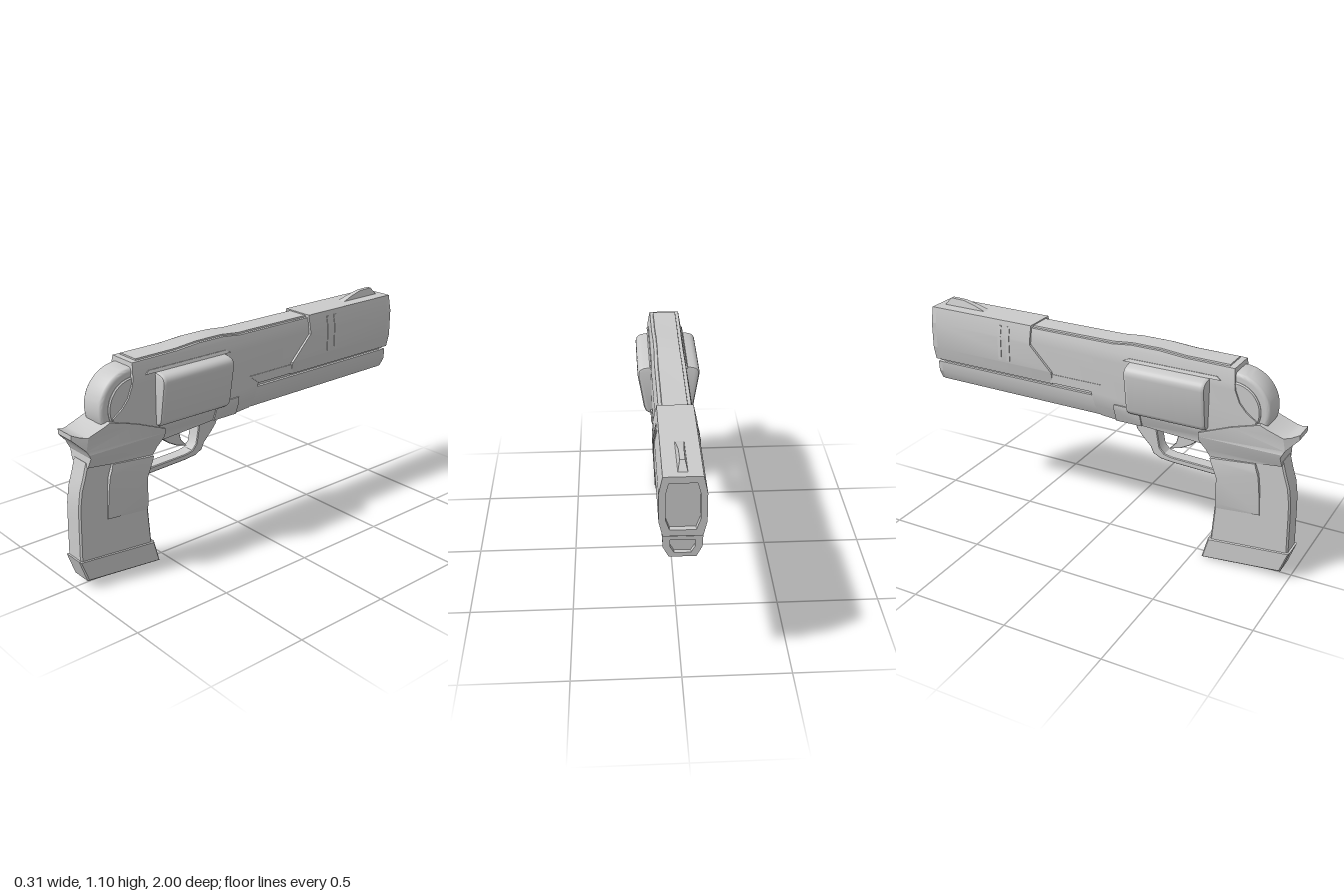
import * as THREE from 'three';
import { toCreasedNormals } from 'three/addons/utils/BufferGeometryUtils.js';

const grey = new THREE.MeshStandardMaterial({ color: 0xcccccc });

// Cut a [z, y] polygon at height h, keeping the part above (s = 1) or below (s = -1)
function clip(poly, h, s) {
  const out = [];
  poly.forEach((p, i) => {
    const q = poly[(i + 1) % poly.length];
    const dp = s * (p[1] - h), dq = s * (q[1] - h);
    if (dp >= 0) out.push(p);
    if (dp * dq < 0) out.push([p[0] + (q[0] - p[0]) * dp / (dp - dq), h]);
  });
  return out;
}

// Solid with a [z, y] side outline whose half width follows [y, width] steps
function slab(outline, widths, taper = () => 1) {
  const pos = [];
  const half = y => {
    if (y <= widths[0][0]) return widths[0][1];
    for (let i = 1; i < widths.length; i++) {
      const [y0, w0] = widths[i - 1], [y1, w1] = widths[i];
      if (y <= y1) return w0 + (w1 - w0) * (y - y0) / (y1 - y0);
    }
    return widths[widths.length - 1][1];
  };
  const put = (p, side) => pos.push(side * half(p[1]) * taper(p[0]), p[1], p[0]);
  const ys = outline.map(p => p[1]), lo = Math.min(...ys), hi = Math.max(...ys);
  const cuts = [lo, ...widths.map(w => w[0]).filter(y => y > lo + 1e-4 && y < hi - 1e-4), hi];
  for (let i = 0; i + 1 < cuts.length; i++) {
    let band = clip(clip(outline, cuts[i], 1), cuts[i + 1], -1);
    let pts = band.map(p => new THREE.Vector2(...p));
    if (THREE.ShapeUtils.isClockWise(pts)) { band.reverse(); pts.reverse(); }
    for (const [a, b, c] of THREE.ShapeUtils.triangulateShape(pts, [])) {
      [a, b, c].forEach(k => put(band[k], -1));
      [a, c, b].forEach(k => put(band[k], 1));
    }
    band.forEach((p, k) => {
      const q = band[(k + 1) % band.length];
      const inner = cuts.slice(1, -1).some(h => Math.abs(p[1] - h) + Math.abs(q[1] - h) < 1e-6);
      if (inner) return;
      put(p, 1); put(q, 1); put(q, -1);
      put(p, 1); put(q, -1); put(p, -1);
    });
  }
  const g = new THREE.BufferGeometry();
  g.setAttribute('position', new THREE.Float32BufferAttribute(pos, 3));
  g.computeVertexNormals();
  return toCreasedNormals(g, 0.5);
}

const toShape = pts => new THREE.Shape(pts.map(p => new THREE.Vector2(...p)));

// Bevelled plate: [z, y] shape extruded across x to the given half width
function plate(shape, half, bevel, segments = 1) {
  const g = new THREE.ExtrudeGeometry(shape, {
    depth: 2 * (half - bevel), bevelThickness: bevel, bevelSize: bevel,
    bevelOffset: -bevel, bevelSegments: segments, curveSegments: 32,
  });
  g.translate(0, 0, bevel - half).rotateY(-Math.PI / 2);
  return toCreasedNormals(g, 0.6);
}

// Mirror a right half of an [x, y] section into a closed loop
const mirrored = half => [...half, ...half.slice().reverse().map(([x, y]) => [-x, y])];

// Open rim at the front end: section with a hole, extruded along z
function rim(outer, inner, z0, z1) {
  const s = toShape(mirrored(outer));
  s.holes.push(new THREE.Path(mirrored(inner).map(p => new THREE.Vector2(...p))));
  return new THREE.ExtrudeGeometry(s, { depth: z1 - z0, bevelEnabled: false }).translate(0, 0, z0);
}

export function createModel() {
  const model = new THREE.Group();
  const add = (name, geometry) => {
    const m = new THREE.Mesh(geometry, grey);
    m.name = name;
    model.add(m);
    return m;
  };

  // Frame and inner barrel
  const frameWidths = [[0.65, 0.058], [0.72, 0.085], [0.98, 0.088], [1.04, 0.078], [1.07, 0.07]];
  add('frame', slab([
    [0.68, 1.05], [0.43, 1.053], [0.3, 1.063], [0.15, 1.063], [0.05, 1.052], [-0.42, 1.052],
    [-0.42, 0.785], [-0.06, 0.785], [-0.02, 0.66], [0.07, 0.65], [0.2, 0.65], [0.52, 0.63],
    [0.6, 0.68], [0.79, 0.78], [0.8, 0.815], [0.75, 0.85], [0.715, 0.89], [0.69, 0.95],
  ], frameWidths));
  add('topRib', slab([
    [0.65, 1.04], [0.65, 1.058], [0.43, 1.06], [0.3, 1.07], [0.15, 1.07], [0.05, 1.06], [-0.41, 1.06], [-0.41, 1.04],
  ], [[1.04, 0.062], [1.07, 0.055]]));
  add('sideLedge', slab([[0.62, 0.985], [0.6, 1.0], [0.15, 1.0], [0.12, 0.985]], [[0.98, 0.096], [1, 0.088]]));
  add('sidePanel', slab([[0, 0.833], [-0.29, 0.833], [-0.29, 0.788], [-0.06, 0.788]], [[0.7, 0.089], [0.9, 0.089]]));

  // Barrel shroud with recessed muzzle
  add('barrelShroud', slab([
    [-0.4, 1.066], [-0.975, 1.066], [-0.975, 0.78], [-0.28, 0.78], [-0.28, 0.845], [-0.4, 0.97],
  ], [[0.78, 0.084], [0.85, 0.1], [0.985, 0.1], [1.066, 0.083]]));
  add('muzzleRim', rim(
    [[0.084, 0.78], [0.1, 0.85], [0.1, 0.985], [0.083, 1.066]],
    [[0.055, 0.81], [0.072, 0.86], [0.072, 0.98], [0.058, 1.035]], -1, -0.975));
  for (const z of [-0.53, -0.58])
    add('shroudRib', slab([
      [z - 0.009, 0.86], [z + 0.009, 0.86], [z + 0.009, 1.04], [z - 0.009, 1.04],
    ], [[0.86, 0.103], [0.985, 0.103], [1.066, 0.086]]));
  add('frontSight', slab([
    [-0.7, 1.06], [-0.78, 1.085], [-0.85, 1.102], [-0.93, 1.104], [-0.97, 1.06],
  ], [[1.06, 0.022], [1.104, 0.011]]));

  // Lug under the barrel, set off by a narrow groove
  add('grooveCore', slab([[0, 0.8], [-0.96, 0.8], [-0.96, 0.75], [0, 0.75]], [[0.7, 0.07], [0.8, 0.07]]));
  add('barrelLug', slab([
    [-0.01, 0.768], [-0.965, 0.768], [-0.965, 0.665], [-0.02, 0.66],
  ], [[0.66, 0.058], [0.715, 0.083], [0.768, 0.085]]));
  add('lugRim', rim(
    [[0.058, 0.665], [0.083, 0.715], [0.085, 0.768]],
    [[0.035, 0.685], [0.052, 0.715], [0.052, 0.75]], -0.985, -0.965));
  add('craneBlock', slab([
    [0.07, 0.65], [0.07, 0.745], [0.21, 0.745], [0.21, 0.65],
  ], [[0.65, 0.066], [0.72, 0.092], [0.745, 0.092]]));

  // Cylinder housing: rounded, tapering section swept along z
  const drum = new THREE.Shape();
  drum.moveTo(0.08, 0.722);
  drum.lineTo(0.095, 0.722);
  drum.quadraticCurveTo(0.12, 0.728, 0.126, 0.76);
  drum.lineTo(0.155, 0.935);
  drum.quadraticCurveTo(0.157, 0.972, 0.125, 0.98);
  drum.lineTo(0.08, 0.987);
  const loop = mirrored(drum.getPoints(6).map(p => [p.x, p.y]));
  const drumGeo = new THREE.ExtrudeGeometry(toShape(loop), {
    depth: 0.379, bevelThickness: 0.018, bevelSize: 0.012, bevelOffset: -0.012, bevelSegments: 3,
  }).translate(0, 0, 0.168);
  add('cylinderHousing', toCreasedNormals(drumGeo, 0.6));

  // Rounded hammer with raised side disc
  const round = r => new THREE.Shape().absarc(0.68, 0.85, r, 0, Math.PI * 2);
  add('hammer', plate(round(0.178), 0.07, 0.02, 4));
  add('hammerDisc', plate(round(0.135), 0.078, 0.006));

  // Tang between frame and grip, narrowing to the rear spur
  add('tang', slab([
    [1, 0.782], [0.965, 0.768], [0.935, 0.765], [0.865, 0.79], [0.82, 0.808], [0.68, 0.765], [0.52, 0.7],
    [0.52, 0.655], [0.57, 0.57], [0.8, 0.592], [0.93, 0.61], [0.925, 0.66], [0.945, 0.7], [1, 0.757],
  ], [[0.57, 0.056], [0.605, 0.062], [0.68, 0.093], [0.81, 0.094]],
  z => (z > 0.93 ? 1 - 6 * (z - 0.93) : 1)));

  // Grip, its raised side panel and base
  add('grip', plate(toShape([
    [0.93, 0.63], [0.95, 0.56], [0.97, 0.5], [0.982, 0.42], [0.985, 0.34], [0.99, 0.13],
    [0.59, 0.1], [0.605, 0.31], [0.615, 0.47], [0.595, 0.53], [0.57, 0.575], [0.57, 0.63],
  ]), 0.055, 0.008));
  add('gripPanel', slab([
    [0.8, 0.592], [0.82, 0.54], [0.828, 0.48], [0.838, 0.325], [0.61, 0.3], [0.612, 0.47], [0.575, 0.57],
  ], [[0.3, 0.056], [0.33, 0.063], [0.56, 0.073], [0.595, 0.066]]));
  add('gripBase', plate(toShape([
    [1, 0.157], [0.58, 0.12], [0.55, 0.003], [0.96, 0.042],
  ]), 0.06, 0.007));

  // Trigger and guard
  add('trigger', plate(toShape([
    [0.52, 0.66], [0.5, 0.625], [0.45, 0.583], [0.4, 0.556], [0.34, 0.54], [0.375, 0.58], [0.395, 0.66],
  ]), 0.02, 0.003));
  add('triggerGuard', plate(toShape([
    [0.63, 0.495], [0.36, 0.504], [0.32, 0.513], [0.295, 0.54], [0.283, 0.6], [0.27, 0.67], [0.15, 0.67],
    [0.17, 0.615], [0.2, 0.58], [0.245, 0.535], [0.26, 0.502], [0.3, 0.483], [0.36, 0.476], [0.63, 0.465],
  ]), 0.035, 0.004));

  return model;
}
